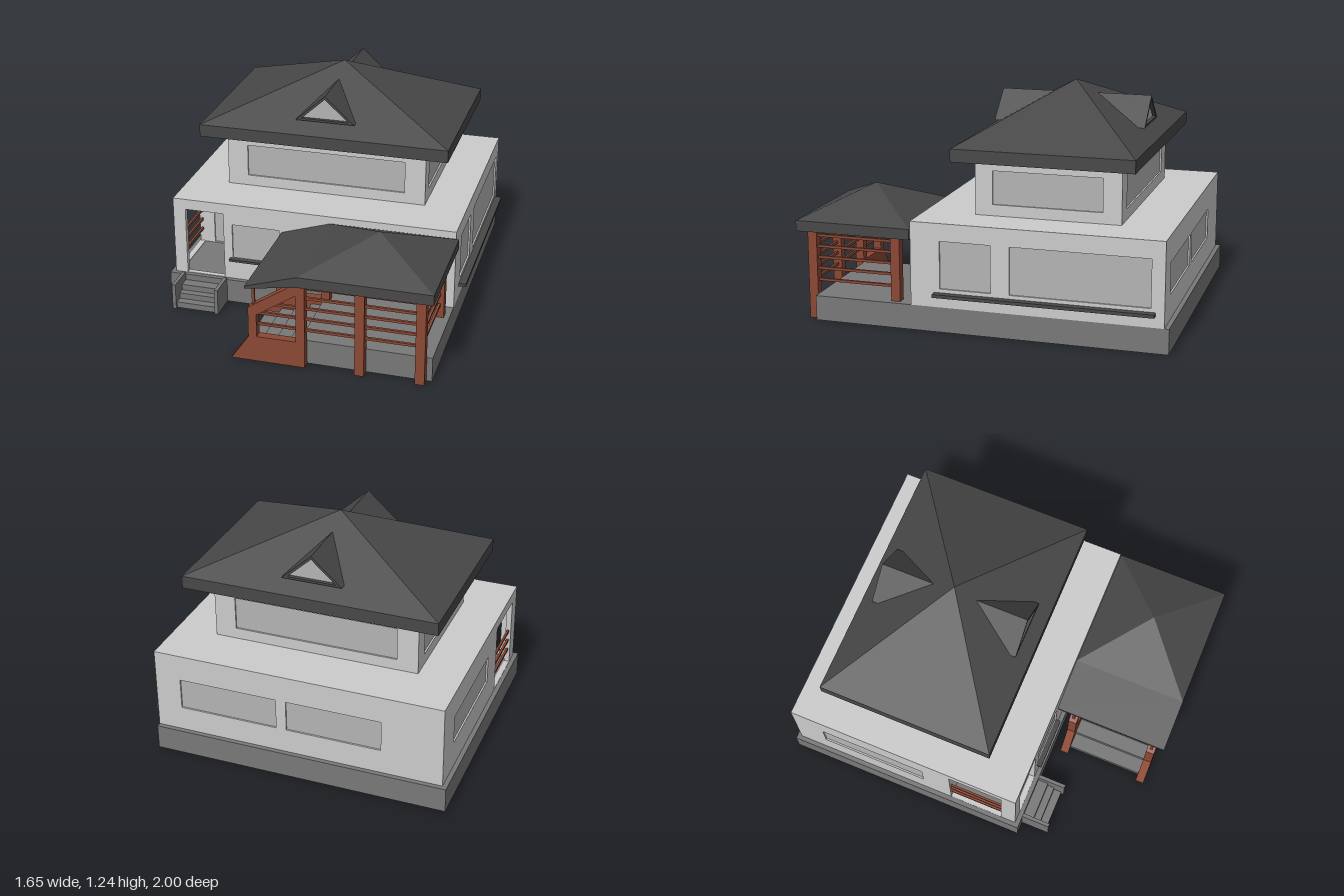
import * as THREE from 'three';
import { ConvexGeometry } from 'three/addons/geometries/ConvexGeometry.js';

const mat = (color) => new THREE.MeshStandardMaterial({ color, flatShading: true });
const WALL = mat(0xcccccc), GLASS = mat(0xb4b4b4), STONE = mat(0x787878);
const ROOF = mat(0x484848), WOOD = mat(0x8b4834);
const T = 0.03; // wall thickness

export function createModel() {
  const model = new THREE.Group();

  const add = (parent, name, geometry, material) => {
    const mesh = new THREE.Mesh(geometry, material);
    mesh.name = name;
    parent.add(mesh);
    return mesh;
  };
  const group = (name) => {
    const g = new THREE.Group();
    g.name = name;
    model.add(g);
    return g;
  };
  // Box given by its limits on each axis
  const box = (parent, name, material, x0, x1, y0, y1, z0, z1) => {
    const mesh = add(parent, name, new THREE.BoxGeometry(x1 - x0, y1 - y0, z1 - z0), material);
    mesh.position.set((x0 + x1) / 2, (y0 + y1) / 2, (z0 + z1) / 2);
    return mesh;
  };
  const outline = (points) => points.map(([x, y]) => new THREE.Vector2(x, y));
  const rect = (u0, u1, v0, v1) => [[u0, v0], [u1, v0], [u1, v1], [u0, v1]];
  // Flat plate cut from an outline with holes
  const plate = (points, holes, depth) => {
    const shape = new THREE.Shape(outline(points));
    holes.forEach((h) => shape.holes.push(new THREE.Path(outline(h))));
    return new THREE.ExtrudeGeometry(shape, { depth, bevelEnabled: false });
  };
  // Wall facing x or z, starting at coordinate "at"; openings are [u0, u1, y0, y1, open]
  const wall = (parent, name, axis, at, u0, u1, y0, y1, openings = []) => {
    const g = new THREE.Group();
    g.name = name;
    parent.add(g);
    add(g, 'wallPanel', plate(rect(u0, u1, y0, y1), openings.map((o) => rect(...o.slice(0, 4))), T), WALL);
    openings.filter((o) => !o[4]).forEach(([a, b, c, d]) => box(g, 'pane', GLASS, a, b, c, d, 0.009, 0.021));
    if (axis === 'x') {
      g.rotation.y = -Math.PI / 2;
      g.position.x = at + T;
    } else g.position.z = at;
  };
  // Pyramid roof on a straight fascia
  const hipRoof = (parent, name, x0, x1, z0, z1, yBottom, yEave, yTop) => {
    const pts = [new THREE.Vector3((x0 + x1) / 2, yTop, (z0 + z1) / 2)];
    for (const x of [x0, x1]) for (const z of [z0, z1]) for (const y of [yBottom, yEave]) pts.push(new THREE.Vector3(x, y, z));
    add(parent, name, new ConvexGeometry(pts), ROOF);
  };

  // Foundation: open ring under the house, hollow deck in front
  const base = group('foundation');
  const ring = add(base, 'foundationRing',
    plate(rect(-0.825, 0.785, -0.39, 1), [rect(-0.775, 0.75, -0.34, 0.95)], 0.135), STONE);
  ring.rotation.x = -Math.PI / 2;
  box(base, 'porchFloor', STONE, -0.8, -0.48, 0.115, 0.134, -0.04, 0.37);
  box(base, 'deckFloor', STONE, 0.09, 0.785, 0.11, 0.135, 0.39, 0.905);
  box(base, 'deckSide', STONE, 0.75, 0.785, 0, 0.11, 0.39, 0.905);
  box(base, 'deckFront', STONE, 0.09, 0.75, 0, 0.11, 0.87, 0.905);

  // Ground floor walls
  const ground = group('groundFloor');
  wall(ground, 'frontWall', 'z', 0.335, -0.8, 0.785, 0.135, 0.565, [
    [-0.73, -0.51, 0.138, 0.525, true], [-0.46, -0.19, 0.262, 0.465], [0.23, 0.61, 0.14, 0.44]]);
  wall(ground, 'backWall', 'z', -0.975, -0.8, 0.785, 0.135, 0.565, [
    [-0.47, 0.047, 0.27, 0.44], [0.103, 0.644, 0.27, 0.44]]);
  wall(ground, 'leftWall', 'x', 0.755, -0.945, 0.335, 0.135, 0.565, [
    [-0.905, -0.17, 0.235, 0.49], [-0.07, 0.205, 0.235, 0.49]]);
  wall(ground, 'rightWall', 'x', -0.8, -0.945, 0.335, 0.135, 0.565, [
    [-0.8, -0.195, 0.285, 0.44], [-0.03, 0.28, 0.138, 0.525, true]]);
  wall(ground, 'porchDoorWall', 'z', -0.06, -0.77, -0.48, 0.135, 0.565, [[-0.71, -0.55, 0.14, 0.405]]);
  wall(ground, 'porchSideWall', 'x', -0.51, -0.03, 0.335, 0.135, 0.565, [[0.035, 0.3, 0.26, 0.42]]);
  box(ground, 'flatRoof', WALL, -0.8, 0.785, 0.56, 0.585, -0.975, 0.365);
  box(ground, 'sideLedge', ROOF, 0.78, 0.825, 0.197, 0.215, -0.93, 0.235);
  box(ground, 'frontLedge', ROOF, -0.475, -0.18, 0.25, 0.263, 0.36, 0.39);
  for (const y of [0.21, 0.27, 0.33]) box(ground, 'porchRail', WOOD, -0.79, -0.778, y, y + 0.015, -0.03, 0.28);

  // Upper floor walls with one long window on each side
  const upper = group('upperFloor');
  for (const [name, z] of [['upperFrontWall', 0.055], ['upperBackWall', -0.7]])
    wall(upper, name, 'z', z, -0.57, 0.555, 0.58, 0.89, [[-0.455, 0.44, 0.645, 0.825]]);
  for (const [name, x] of [['upperLeftWall', 0.525], ['upperRightWall', -0.57]])
    wall(upper, name, 'x', x, -0.67, 0.055, 0.58, 0.89, [[-0.6, -0.01, 0.645, 0.825]]);

  // Main roof and the gable running through it
  const roof = group('mainRoof');
  hipRoof(roof, 'hipRoof', -0.7, 0.69, -0.795, 0.175, 0.888, 0.957, 1.235);
  const gable = add(roof, 'dormerGable', plate(
    [[-0.17, 1.015], [0.16, 1.015], [-0.005, 1.165]],
    [[[-0.137, 1.027], [0.127, 1.027], [-0.005, 1.147]]], 0.83), ROOF);
  gable.position.z = -0.727;
  const pane = add(roof, 'dormerWindow', plate([[-0.14, 1.025], [0.13, 1.025], [-0.005, 1.149]], [], 0.79), GLASS);
  pane.position.z = -0.707;

  // Entrance steps with side walls
  const entry = group('entranceSteps');
  [[0.1, 0.45], [0.067, 0.49], [0.034, 0.535]].forEach(([y, z]) =>
    box(entry, 'step', STONE, -0.735, -0.51, y - 0.034, y, 0.385, z));
  for (const x of [-0.755, -0.51]) box(entry, 'stepWall', STONE, x, x + 0.02, 0, 0.147, 0.39, 0.55);

  // Deck stairs climbing sideways between the wooden panels
  const stairs = group('deckStairs');
  for (let i = 0; i < 4; i++) {
    const x = -0.23 + i * 0.085, y = 0.027 * (i + 1);
    box(stairs, 'stair', STONE, x, x + 0.09, y - 0.027, y, 0.475, 0.91);
  }

  // Veranda timber
  const veranda = group('veranda');
  const sideOutline = [[-0.27, 0], [0.127, 0], [0.127, 0.487], [0.09, 0.487], [-0.175, 0.31], [-0.175, 0.14]];
  const sideHole = [[-0.13, 0.145], [0.08, 0.145], [0.08, 0.412], [-0.13, 0.272]];
  const rails = [0.212, 0.276, 0.336, 0.396, 0.455];
  for (const z of [0.435, 0.907]) {
    add(veranda, 'stairPanel', plate(sideOutline, [sideHole], 0.047), WOOD).position.z = z;
    box(veranda, 'canopyBar', WOOD, -0.157, -0.143, 0.31, 0.455, z + 0.016, z + 0.03);
    rails.slice(0, 3).forEach((y) => {
      const start = Math.max(-0.135, -0.135 + (y - 0.272) * 1.5);
      box(veranda, 'stairRail', WOOD, start, 0.085, y - 0.007, y + 0.007, z + 0.016, z + 0.03);
    });
  }
  for (const x of [0.39, 0.705]) box(veranda, 'frontPost', WOOD, x, x + 0.05, 0, 0.49, 0.905, 0.955);
  box(veranda, 'backPost', WOOD, 0.705, 0.755, 0.13, 0.49, 0.437, 0.487);
  for (const y of rails) {
    box(veranda, 'frontRail', WOOD, 0.12, 0.71, y - 0.007, y + 0.007, 0.923, 0.937);
    box(veranda, 'sideRail', WOOD, 0.723, 0.737, y - 0.007, y + 0.007, 0.48, 0.91);
  }

  // Veranda roof with a canopy sloping over the stairs
  hipRoof(veranda, 'verandaRoof', 0.1, 0.8, 0.365, 1, 0.488, 0.545, 0.695);
  add(veranda, 'stairCanopy', plate(
    [[-0.175, 0.443], [0.1, 0.488], [0.1, 0.545], [-0.175, 0.457]], [], 0.635), ROOF).position.z = 0.365;

  return model;
}
